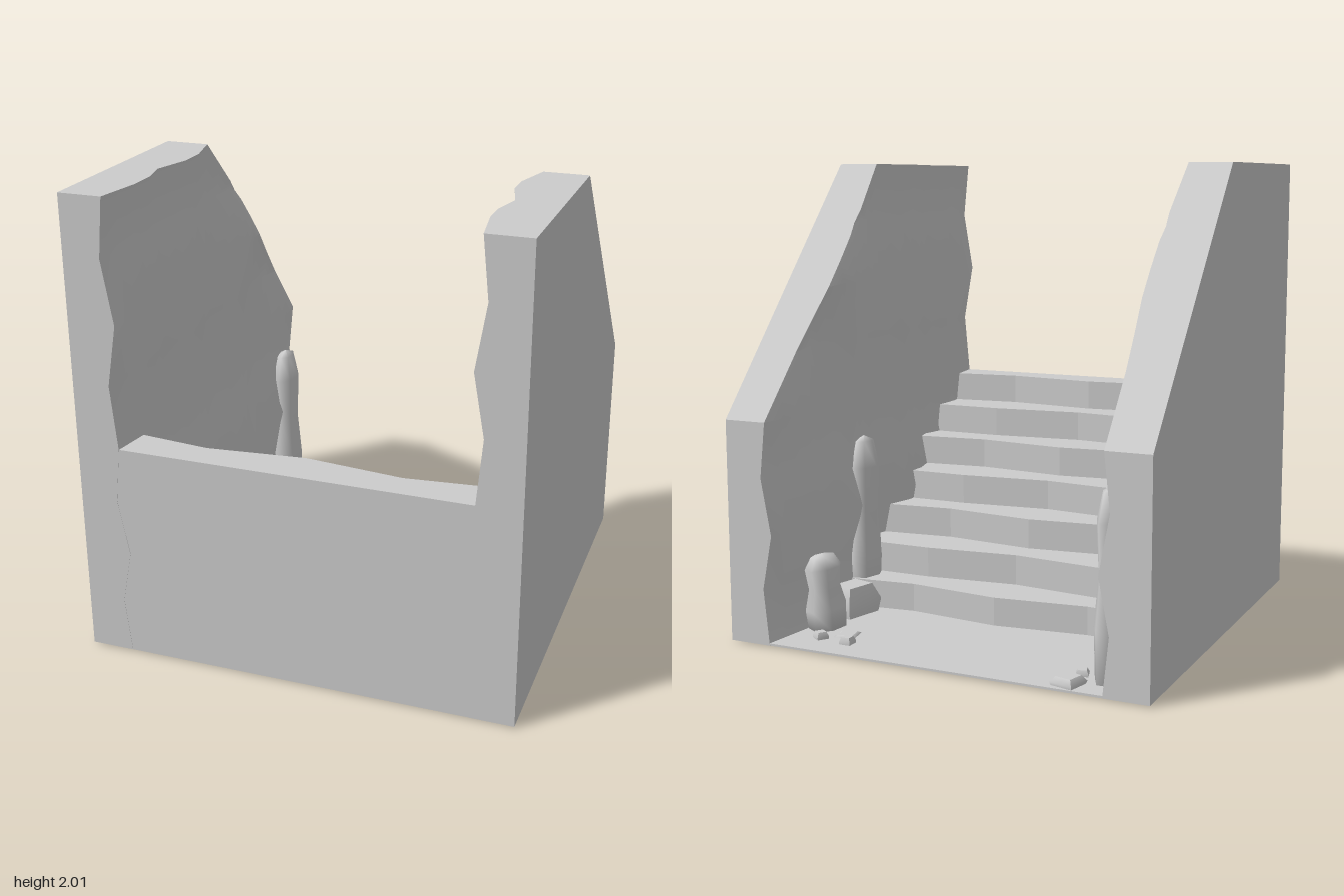
import * as THREE from 'three';

const H = 0.935;
const material = new THREE.MeshStandardMaterial({ color: 0xcccccc, side: THREE.DoubleSide });
const flatMaterial = new THREE.MeshStandardMaterial({ color: 0xcccccc, side: THREE.DoubleSide, flatShading: true });

// Piecewise linear lookup in a list of [key, value] pairs
function lerpTable(table, k) {
  for (let i = 1; i < table.length; i++) {
    const [k0, v0] = table[i - 1], [k1, v1] = table[i];
    if (k <= k1) return v0 + (v1 - v0) * (k - k0) / (k1 - k0);
  }
  return table[table.length - 1][1];
}

// Surface through the points fn(u, v)
function grid(us, vs, fn) {
  const pos = [], idx = [], n = vs.length;
  us.forEach((u) => vs.forEach((v) => pos.push(...fn(u, v))));
  for (let i = 0; i < us.length - 1; i++) {
    for (let j = 0; j < n - 1; j++) {
      const a = i * n + j;
      idx.push(a, a + n, a + 1, a + 1, a + n, a + n + 1);
    }
  }
  const g = new THREE.BufferGeometry();
  g.setAttribute('position', new THREE.Float32BufferAttribute(pos, 3));
  g.setIndex(idx);
  g.computeVertexNormals();
  return g;
}

function add(parent, name, geometry, mat = material) {
  const m = new THREE.Mesh(geometry, mat);
  m.name = name;
  parent.add(m);
  return m;
}

// Rough inner face of the walls: distance from the centre along z, plus a wave in y
const alongZ = [[-H, 0.745], [-0.7, 0.715], [-0.47, 0.735], [-0.28, 0.705], [-0.18, 0.705], [0, 0.745],
  [0.18, 0.7], [0.3, 0.7], [0.47, 0.745], [0.6, 0.715], [0.72, 0.715], [H, 0.748]];
const alongY = [[0, 0], [0.24, 0.025], [0.47, -0.02], [0.71, 0.025], [0.945, 0],
  [1.22, 0.025], [1.48, -0.02], [1.75, 0.025], [2, 0]];
const innerX = (y, z) => lerpTable(alongZ, z) + lerpTable(alongY, y);
const wallTop = (z) => (z >= 0 ? 2 : 2 + z * 1.055 / H);

function wall(side) {
  const g = new THREE.Group();
  const zs = [];
  alongZ.forEach(([z], i) => {
    if (i) zs.push((alongZ[i - 1][0] + z) / 2);
    zs.push(z);
  });
  const ys = alongY.map(([y]) => y);
  const cut = (y, z) => Math.min(y, wallTop(z));
  add(g, 'roughInnerFace', grid(zs, ys, (z, y) => {
    const h = cut(y, z);
    return [side * innerX(h, z), h, z];
  }));
  add(g, 'outerFace', grid([-H, 0, H], [0, 1], (z, v) => [side * H, v * wallTop(z), z]), flatMaterial);
  add(g, 'wallTop', grid(zs, [0, 1], (z, v) => {
    const h = wallTop(z);
    return [side * (v ? H : innerX(h, z)), h, z];
  }), flatMaterial);
  [-H, H].forEach((z) => add(g, z > 0 ? 'frontEnd' : 'backEnd', grid(ys, [0, 1], (y, v) => {
    const h = cut(y, z);
    return [side * (v ? H : innerX(h, z)), h, z];
  }), flatMaterial));
  return g;
}

// Worn stairs going down from the front, each edge zigzagging across the width
function stairs() {
  const even = [[0, -0.023], [0.42, 0.022], [0.8, -0.018]];
  const odd = [[0, 0.022], [0.42, -0.022], [0.8, -0.022]];
  const profile = [[0, H - 0.001, null], [0.945, H - 0.001, null]];
  for (let k = 0; k < 7; k++) {
    const z = 0.778 - 0.18 * k, table = k % 2 ? odd : even;
    profile.push([0.945 - 0.135 * k, z, table], [Math.max(0.01, 0.81 - 0.135 * k), z, table]);
  }
  profile.push([0.01, -H, null]);
  return grid([-0.8, -0.42, 0, 0.42, 0.8], profile, (x, [y, z, table]) =>
    [x, y, z + (table ? lerpTable(table, Math.abs(x)) : 0)]);
}

// Rounded standing stone
function stone(x, y, z, w, h, d, turn, lean) {
  const pts = [[0, 0], [0.46, 0], [0.5, 0.28], [0.38, 0.55], [0.44, 0.82], [0.28, 0.97], [0, 1]]
    .map(([r, t]) => new THREE.Vector2(r, t));
  const g = new THREE.LatheGeometry(pts, 7);
  g.rotateY(turn).scale(w, h, d).rotateZ(lean).translate(x, y, z);
  return g;
}

// Low boulder: a box narrowed towards its top
function boulder(x, z, w, h, d, turn) {
  const g = new THREE.BoxGeometry(1, 1, 1, 2, 2, 2), p = g.attributes.position;
  for (let i = 0; i < p.count; i++) {
    const y = p.getY(i), s = y > 0.4 ? 0.72 : y < -0.4 ? 0.92 : 1.05;
    p.setXYZ(i, p.getX(i) * s, y + 0.5, p.getZ(i) * s);
  }
  g.scale(w, h, d).rotateY(turn).translate(x, 0, z);
  g.computeVertexNormals();
  return g;
}

export function createModel() {
  const model = new THREE.Group();
  model.name = 'stairway';

  const base = add(model, 'floorSlab', new THREE.BoxGeometry(2 * H - 0.004, 0.01, 2 * H - 0.004));
  base.position.y = 0.005;
  add(model, 'stairs', stairs(), flatMaterial);
  [['leftWall', 1], ['rightWall', -1]].forEach(([name, side]) => {
    const w = wall(side);
    w.name = name;
    model.add(w);
  });

  // Stones leaning on the walls
  add(model, 'leftTallStone', stone(0.71, 0, -0.21, 0.14, 0.78, 0.2, 0.3, 0));
  add(model, 'rightTallStone', stone(-0.71, 0, -0.74, 0.14, 0.78, 0.23, 0, 0));
  add(model, 'leftMiddleStone', stone(0.655, 0, -0.62, 0.16, 0.33, 0.23, 0.5, -0.08));
  add(model, 'leftBoulder', boulder(0.66, -0.41, 0.15, 0.14, 0.19, -0.25));
  add(model, 'rightBoulder', boulder(-0.65, -0.54, 0.13, 0.14, 0.19, 0.15));
  add(model, 'rightBackBoulder', boulder(-0.66, -0.35, 0.13, 0.14, 0.18, 0.3));

  // Loose pebbles on the floor: x, z, size, height, turn
  [[-0.58, -0.87, 0.1, 0.045, -0.25], [-0.59, -0.75, 0.05, 0.035, 0.3], [0.45, -0.8, 0.05, 0.04, 0],
    [0.59, -0.785, 0.05, 0.04, -0.6], [0.51, -0.7, 0.09, 0.018, 0.2]]
    .forEach(([x, z, s, h, turn]) => add(model, 'pebble', boulder(x, z, s, h, s, turn)));
  return model;
}
